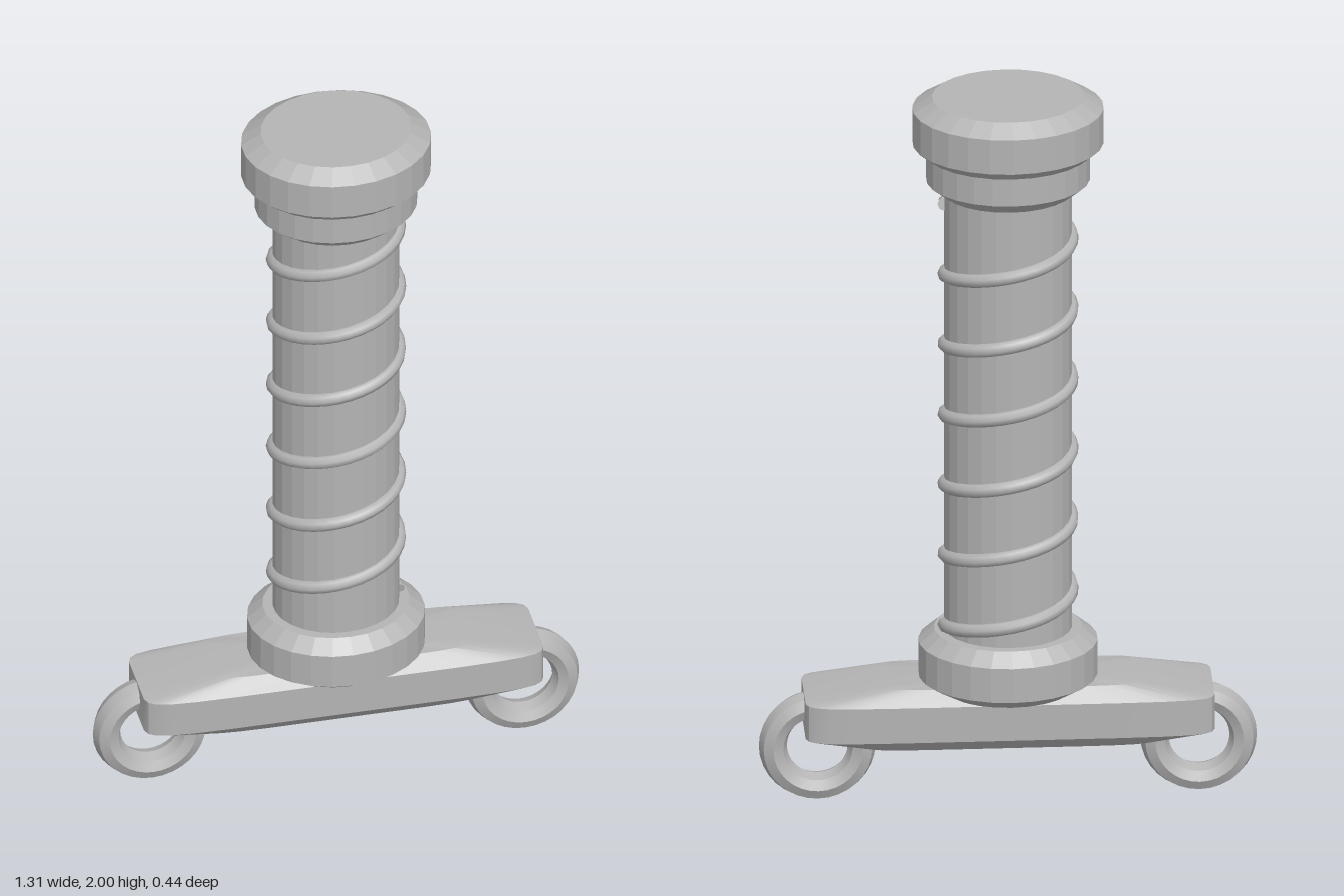
import * as THREE from 'three';
import { toCreasedNormals } from 'three/addons/utils/BufferGeometryUtils.js';

const DEPTH = 0.87; // the round parts are slightly flattened front to back

export function createModel() {
  const group = new THREE.Group();
  const metal = new THREE.MeshStandardMaterial({ color: 0xb4b4b4 });

  const add = (name, geometry) => {
    const mesh = new THREE.Mesh(geometry, metal);
    mesh.name = name;
    group.add(mesh);
    return mesh;
  };

  // Faceted turned part; profile is [radius, height] from bottom to top
  const turned = (name, profile) => {
    const points = profile.map(([r, y]) => new THREE.Vector2(r, y));
    const geometry = new THREE.LatheGeometry(points, 26).scale(1, 1, DEPTH).toNonIndexed();
    geometry.computeVertexNormals();
    return add(name, geometry);
  };

  turned('topCap', [[0, 1.845], [0.222, 1.845], [0.252, 1.87], [0.252, 1.968], [0.2, 2], [0, 2]]);
  turned('neckCollar', [[0, 1.732], [0.175, 1.732], [0.216, 1.765], [0.216, 1.85], [0, 1.85]]);
  turned('column', [[0, 0.46], [0.168, 0.46], [0.168, 1.75], [0, 1.75]]);
  turned('baseCollar', [[0, 0.315], [0.185, 0.315], [0.236, 0.348], [0.236, 0.445], [0.195, 0.48], [0, 0.48]]);

  // Spring wound six turns around the column
  class Helix extends THREE.Curve {
    getPoint(t, target = new THREE.Vector3()) {
      const a = t * Math.PI * 12;
      return target.set(0.167 * Math.cos(a), 0.49 + 1.205 * t, -0.145 * Math.sin(a));
    }
  }
  const helix = new Helix();
  add('spring', new THREE.TubeGeometry(helix, 192, 0.019, 8));
  for (const t of [0, 1]) {
    const end = add('springEnd', new THREE.CircleGeometry(0.019, 8));
    end.position.copy(helix.getPoint(t));
    end.lookAt(end.position.clone().addScaledVector(helix.getTangent(t), t ? 1 : -1));
  }

  add('foot', footGeometry());

  // Rings hanging from both ends of the foot
  for (const [side, name] of [[1, 'leftRing'], [-1, 'rightRing']]) {
    const ring = add(name, toCreasedNormals(new THREE.TorusGeometry(0.117, 0.037, 8, 32).scale(1, 1, 1.15), 0.6));
    ring.position.set(side * 0.502, 0.154, 0);
  }
  return group;
}

// Bar with rounded corners, bevelled along its sides and tapered to its ends
function footGeometry() {
  const quarter = [[1, 0.66], [0.985, 0.8], [0.95, 0.89], [0.88, 0.95], [0.75, 0.985], [0.55, 1]];
  const outline = [
    ...quarter,
    ...quarter.map(([x, z]) => [-x, z]).reverse(),
    ...quarter.map(([x, z]) => [-x, -z]),
    ...quarter.map(([x, z]) => [x, -z]).reverse(),
  ];
  // height, half length, half width of each section
  const sections = [[0.175, 0.38, 0.105], [0.208, 0.538, 0.133], [0.308, 0.538, 0.133], [0.345, 0.34, 0.1]];
  const n = outline.length;
  const positions = [];
  const index = [];
  for (const [y, length, width] of sections) {
    for (const [x, z] of outline) positions.push(x * length, y, z * width);
  }
  const bottom = sections.length * n;
  positions.push(0, sections[0][0], 0, 0, sections.at(-1)[0], 0);
  for (let i = 0; i < n; i++) {
    const j = (i + 1) % n;
    for (let s = 0; s < sections.length - 1; s++) {
      const a = s * n + i, b = s * n + j;
      index.push(a, a + n, b, b, a + n, b + n);
    }
    const top = (sections.length - 1) * n;
    index.push(bottom, i, j, bottom + 1, top + j, top + i);
  }
  const geometry = new THREE.BufferGeometry();
  geometry.setAttribute('position', new THREE.Float32BufferAttribute(positions, 3));
  geometry.setIndex(index);
  return toCreasedNormals(geometry, 0.5);
}
